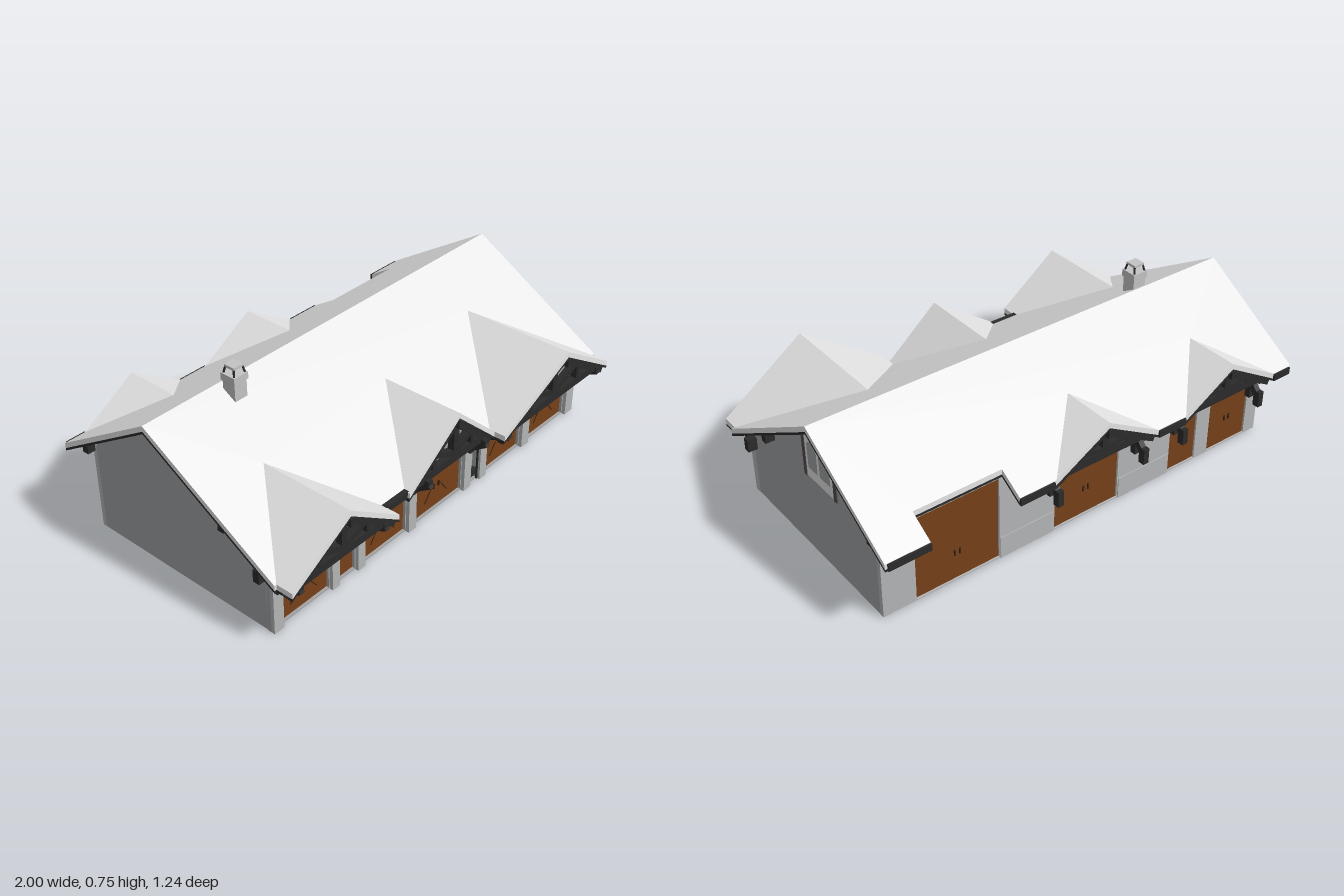
import * as THREE from 'three';

const mat = (name, color) => {
  const m = new THREE.MeshStandardMaterial({ color });
  m.name = name;
  return m;
};

export function createModel() {
  const root = new THREE.Group();
  root.name = 'carriageHouse';
  const M = {
    roof: mat('pale roof', 0xe8e8e8),
    wall: mat('grey wall', 0xa2a3a4),
    plaster: mat('light grey plaster', 0xb4b6b7),
    floor: mat('floor slab', 0xd2d2d2),
    stone: mat('chimney stone', 0xc4c4c4),
    timber: mat('dark timber', 0x2b2b2b),
    door: mat('brown door', 0x764018),
    iron: mat('dark brown iron', 0x3a2414),
    trim: mat('brown grey trim', 0x544c4c),
    panel: mat('window panel', 0xe2e2e2),
  };

  // ---- helpers ----
  const add = (name, geo, material) => {
    const m = new THREE.Mesh(geo, material);
    m.name = name;
    root.add(m);
    return m;
  };
  const box = (name, material, x0, x1, y0, y1, z0, z1) =>
    add(name, new THREE.BoxGeometry(x1 - x0, y1 - y0, z1 - z0)
      .translate((x0 + x1) / 2, (y0 + y1) / 2, (z0 + z1) / 2), material);
  const beam = (name, a, b, w = 0.03, d = 0.03, material = M.timber) => {
    const A = new THREE.Vector3(...a), B = new THREE.Vector3(...b);
    const dir = B.clone().sub(A);
    const m = add(name, new THREE.BoxGeometry(w, dir.length(), d), material);
    m.position.copy(A).add(B).multiplyScalar(0.5);
    m.quaternion.setFromUnitVectors(new THREE.Vector3(0, 1, 0), dir.normalize());
  };
  const poly = (pts) => new THREE.Shape(pts.map((p) => new THREE.Vector2(...p)));
  const extrude = (shape, depth) =>
    new THREE.ExtrudeGeometry(shape, { depth, bevelEnabled: false, curveSegments: 8 });
  const extrudeZ = (name, material, shape, z0, z1) =>
    add(name, extrude(shape, z1 - z0).translate(0, 0, z0), material);
  const extrudeX = (name, material, shape, x0, x1) =>
    add(name, extrude(shape, x1 - x0).rotateY(-Math.PI / 2).translate(x1, 0, 0), material);
  // Rectangle with a curved top; spring is where the curve starts
  const arch = (x0, x1, y0, spring, top) => {
    const s = new THREE.Shape();
    s.moveTo(x0, y0);
    s.lineTo(x1, y0);
    s.lineTo(x1, spring);
    if (top > spring) s.quadraticCurveTo((x0 + x1) / 2, 2 * top - spring, x0, spring);
    else s.lineTo(x0, spring);
    return s;
  };
  // Roof plane: plan outline (x, z) lifted to a height rule, with a dark soffit below
  const slab = (name, plan, height) => {
    [['', M.roof, 0.024, 0], ['Soffit', M.timber, 0.011, -0.024]].forEach(([suffix, material, t, dy]) => {
      const g = extrude(poly(plan), t).rotateX(Math.PI / 2);
      const p = g.attributes.position;
      for (let i = 0; i < p.count; i++) p.setY(i, p.getY(i) + dy + height(p.getX(i), p.getZ(i)));
      g.computeVertexNormals();
      add(name + suffix, g, material);
    });
  };

  // ---- main roof with valleys cut for the gables ----
  const RZ = -0.13;
  const mainY = (z) => 0.665 - (z > RZ ? 0.594 * (z - RZ) : 0.62 * (RZ - z));
  const frontGables = [
    { cx: -0.705, wl: 0.285, wr: 0.285, zb: 0.17, zv: 0.5, zr: 0.59, ze: 0.575 },
    { cx: 0, wl: 0.3, wr: 0.235, zb: 0.15, zv: 0.5, zr: 0.52, ze: 0.525 },
    { cx: 0.6, wl: 0.365, wr: 0.385, zb: 0.1, zv: 0.5, zr: 0.612, ze: 0.575 },
  ];
  const rearGables = [
    { cx: -0.645, wl: 0.255, wr: 0.24, zb: -0.37, zv: -0.612, zr: -0.615, ze: -0.612 },
    { cx: 0, wl: 0.26, wr: 0.25, zb: -0.37, zv: -0.612, zr: -0.615, ze: -0.612 },
  ];
  const notches = (list) => list.flatMap((g, i) => {
    const pts = [[g.cx - g.wl, g.zv], [g.cx, g.zb], [g.cx + g.wr, g.zv]];
    const prev = list[i - 1];
    return prev && Math.abs(prev.cx + prev.wr - pts[0][0]) < 1e-4 ? pts.slice(1) : pts;
  });
  slab('frontRoof', [[1, RZ], [-1, RZ], [-1, 0.5], ...notches(frontGables), [1, 0.5]], (x, z) => mainY(z));
  slab('rearRoof', [[1, RZ], [-1, RZ], [-1, -0.612], ...notches(rearGables),
    [0.42, -0.612], [0.42, -0.505], [0.81, -0.505], [0.81, -0.612], [1, -0.612]], (x, z) => mainY(z));
  // Gutter boards on the straight runs of eave
  [[-0.99, -0.9], [-0.4, -0.26], [0.26, 0.42], [0.81, 0.99]].forEach(([a, b]) =>
    box('rearFascia', M.timber, a, b, 0.333, 0.364, -0.62, -0.61));
  box('eaveBeam', M.timber, -0.43, -0.28, 0.265, 0.295, 0.49, 0.515);

  // ---- gables: two roof planes, wall and timber truss ----
  const buildGable = (g) => {
    const front = g.zr > 0, sgn = front ? 1 : -1;
    const ridge = mainY(g.zb), eave = mainY(g.zv);
    [[-1, g.wl], [1, g.wr]].forEach(([s, w]) => {
      const x = g.cx + s * w;
      const plan = [[g.cx, g.zb], [g.cx, g.zr], [x, g.ze]];
      if (g.ze !== g.zv) plan.push([x, g.zv]);
      slab('gableRoof', plan, (px) => ridge - (ridge - eave) * Math.abs(px - g.cx) / w);
    });
    const zw = front ? 0.4 : -0.572;
    extrudeZ('gableWall', front ? M.wall : M.plaster, poly([[g.cx - g.wl * 0.8, eave - 0.01],
      [g.cx + g.wr * 0.8, eave - 0.01], [g.cx, ridge - 0.04]]), zw, zw + 0.03);
    const z = g.ze - sgn * 0.03, tie = eave - 0.005;
    beam('tieBeam', [g.cx - g.wl * 0.86, tie, z], [g.cx + g.wr * 0.86, tie, z], 0.035);
    beam('kingPost', [g.cx, tie, z], [g.cx, ridge - 0.03, z]);
    beam('ridgeBeam', [g.cx, ridge - 0.05, zw], [g.cx, ridge - 0.05, g.zr + sgn * 0.006], 0.016, 0.035);
    [[-1, g.wl], [1, g.wr]].forEach(([s, w]) => {
      beam('rafter', [g.cx + s * w * 0.98, eave - 0.042, z], [g.cx, ridge - 0.052, z], 0.034);
      beam('strut', [g.cx, tie + 0.02, z], [g.cx + s * w * 0.42, ridge - 0.42 * (ridge - eave) - 0.05, z], 0.024);
      beam('queenPost', [g.cx + s * w * 0.45, tie, z],
        [g.cx + s * w * 0.45, ridge - 0.45 * (ridge - eave) - 0.05, z], 0.02);
    });
  };
  [...frontGables, ...rearGables].forEach(buildGable);

  // ---- body ----
  extrudeX('body', M.wall, poly([[0.41, 0.004], [0.41, 0.305], [RZ, 0.63], [-0.475, 0.41], [-0.475, 0.004]]),
    -0.955, 0.95);
  box('floorSlab', M.floor, -0.953, 0.948, 0, 0.005, -0.493, 0.428);

  // ---- doors set behind arched openings ----
  const facade = (name, material, z0, z1, top, openings) => {
    const s = poly([[-0.955, 0.003], [0.95, 0.003], [0.95, top], [-0.955, top]]);
    openings.forEach(([x0, x1, spring, peak]) => s.holes.push(arch(x0, x1, 0.008, spring, peak)));
    extrudeZ(name, material, s, z0, z1);
  };
  const frontDoors = [[-0.9, -0.65], [-0.6, -0.505], [-0.455, -0.205], [-0.15, 0.15], [0.31, 0.557], [0.62, 0.888]]
    .map(([a, b]) => [a, b, 0.203, 0.235]);
  facade('frontWall', M.wall, 0.41, 0.43, 0.295, [...frontDoors, [0.205, 0.255, 0.24, 0.24]]);
  frontDoors.forEach(([x0, x1, spring, peak]) => {
    const mid = (x0 + x1) / 2, half = (x1 - x0) / 2, z = 0.418, wide = half > 0.08;
    extrudeZ('frontDoor', M.door, arch(x0, x1, 0.008, spring, peak), 0.41, z);
    // Small panes following the curve of the door head
    const n = wide ? 8 : 3, step = (2 * half) / n;
    for (let i = 0; i < n; i++) {
      const x = x0 + step * (i + 0.5), u = (x - mid) / half;
      const y = spring + (peak - spring) * (1 - u * u) - 0.012;
      box('fanlightPane', M.timber, x - step * 0.36, x + step * 0.36, y - 0.007, y + 0.006, z, z + 0.003);
    }
    if (!wide) return;
    [-1, 1].forEach((s) => {
      beam('doorBrace', [mid + s * 0.07, 0.05, z + 0.001], [mid + s * 0.03, 0.105, z + 0.001], 0.004, 0.003, M.iron);
      box('doorHandle', M.iron, mid + s * 0.016 - 0.003, mid + s * 0.016 + 0.003, 0.098, 0.122, z, z + 0.006);
    });
  });
  const rearDoors = [[-0.89, -0.67, 0.26, 0.29], [-0.595, -0.445, 0.26, 0.29],
    [-0.165, 0.158, 0.28, 0.28], [0.425, 0.805, 0.385, 0.385]];
  facade('rearWall', M.plaster, -0.495, -0.475, 0.395, rearDoors);
  rearDoors.forEach(([x0, x1, spring, peak]) => {
    const mid = (x0 + x1) / 2;
    extrudeZ('rearDoor', M.door, arch(x0, x1, 0.008, spring, peak), -0.487, -0.475);
    [-1, 1].forEach((s) =>
      box('rearDoorHandle', M.iron, mid + s * 0.012 - 0.003, mid + s * 0.012 + 0.003, 0.12, 0.145, -0.492, -0.487));
  });
  [[-0.44, -0.17], [0.165, 0.42]].forEach(([a, b]) => box('plinth', M.plaster, a, b, 0.003, 0.1, -0.499, -0.495));

  // Pillars between the front doors
  [[-0.955, -0.905], [-0.645, -0.605], [-0.5, -0.46], [-0.2, -0.155], [0.155, 0.2],
    [0.262, 0.305], [0.562, 0.612], [0.895, 0.95]].forEach(([a, b]) =>
    box('pillar', M.plaster, a, b, 0, 0.28, 0.411, 0.446));
  // Narrow side entry
  [0.203, 0.257].forEach((x) => box('entryFrame', M.timber, x - 0.003, x + 0.003, 0.003, 0.24, 0.43, 0.437));
  box('entryStep', M.timber, 0.208, 0.252, 0.03, 0.06, 0.41, 0.435);

  // ---- timber brackets under the eaves ----
  const frontBracket = (x, z1) => {
    beam('bracketPost', [x, 0.19, 0.45], [x, 0.28, 0.45], 0.026, 0.024);
    beam('bracketBrace', [x, 0.205, 0.44], [x, 0.265, z1], 0.024, 0.026);
    beam('bracketArm', [x, 0.27, 0.44], [x, 0.27, z1], 0.026, 0.026);
  };
  [-0.935, -0.48, 0.285, 0.93].forEach((x) => frontBracket(x, 0.565));
  [-0.18, 0.178].forEach((x) => frontBracket(x, 0.53));
  [-0.86, -0.43, -0.22, 0.21].forEach((x) => {
    beam('rearBracketPost', [x, 0.23, -0.53], [x, 0.35, -0.53], 0.026, 0.026);
    beam('rearBracketBrace', [x, 0.33, -0.515], [x, 0.25, -0.585], 0.024, 0.026);
    beam('rearBracketPendant', [x, 0.21, -0.58], [x, 0.28, -0.58], 0.026, 0.03);
    beam('rearBracketArm', [x, 0.34, -0.495], [x, 0.34, -0.59], 0.026, 0.03);
  });

  // ---- end walls: purlins on both, window and trim on the left ----
  [[-1, -0.955], [1, 0.95]].forEach(([s, xw]) =>
    [[0.4, 0.265, 0.055], [0.235, 0.395, 0.035], [-0.5, 0.385, 0.035]].forEach(([z, y, h]) =>
      beam('purlin', [xw - s * 0.02, y, z], [s * 0.99, y, z], h, 0.03)));
  const plate = (name, material, shape, d0, d1) => extrudeX(name, material, shape, 0.95 + d0, 0.95 + d1);
  plate('gableBoard', M.trim, poly([[0, 0.557], [-0.235, 0.557], [RZ, 0.628]]), 0, 0.004);
  plate('windowPanel', M.panel, arch(-0.21, -0.025, 0.365, 0.557, 0.557), 0, 0.003);
  [[-0.023, -0.003], [-0.232, -0.21]].forEach(([a, b]) =>
    plate('windowPost', M.trim, arch(a, b, 0.36, 0.557, 0.557), 0, 0.004));
  [[-0.108, -0.042], [-0.195, -0.122]].forEach(([a, b]) =>
    plate('windowPane', M.wall, arch(a, b, 0.412, 0.52, 0.542), 0.003, 0.005));

  // ---- chimney with small open hood ----
  const cx = -0.595, cz = -0.076;
  box('chimney', M.stone, cx - 0.031, cx + 0.031, 0.58, 0.69, cz - 0.031, cz + 0.031);
  box('chimneyRim', M.stone, cx - 0.036, cx + 0.036, 0.69, 0.72, cz - 0.036, cz + 0.036);
  for (const sx of [-1, 1]) for (const sz of [-1, 1])
    beam('hoodPost', [cx + sx * 0.028, 0.718, cz + sz * 0.028], [cx + sx * 0.022, 0.746, cz + sz * 0.022], 0.006, 0.006);
  box('hood', M.stone, cx - 0.025, cx + 0.025, 0.744, 0.755, cz - 0.025, cz + 0.025);

  return root;
}
